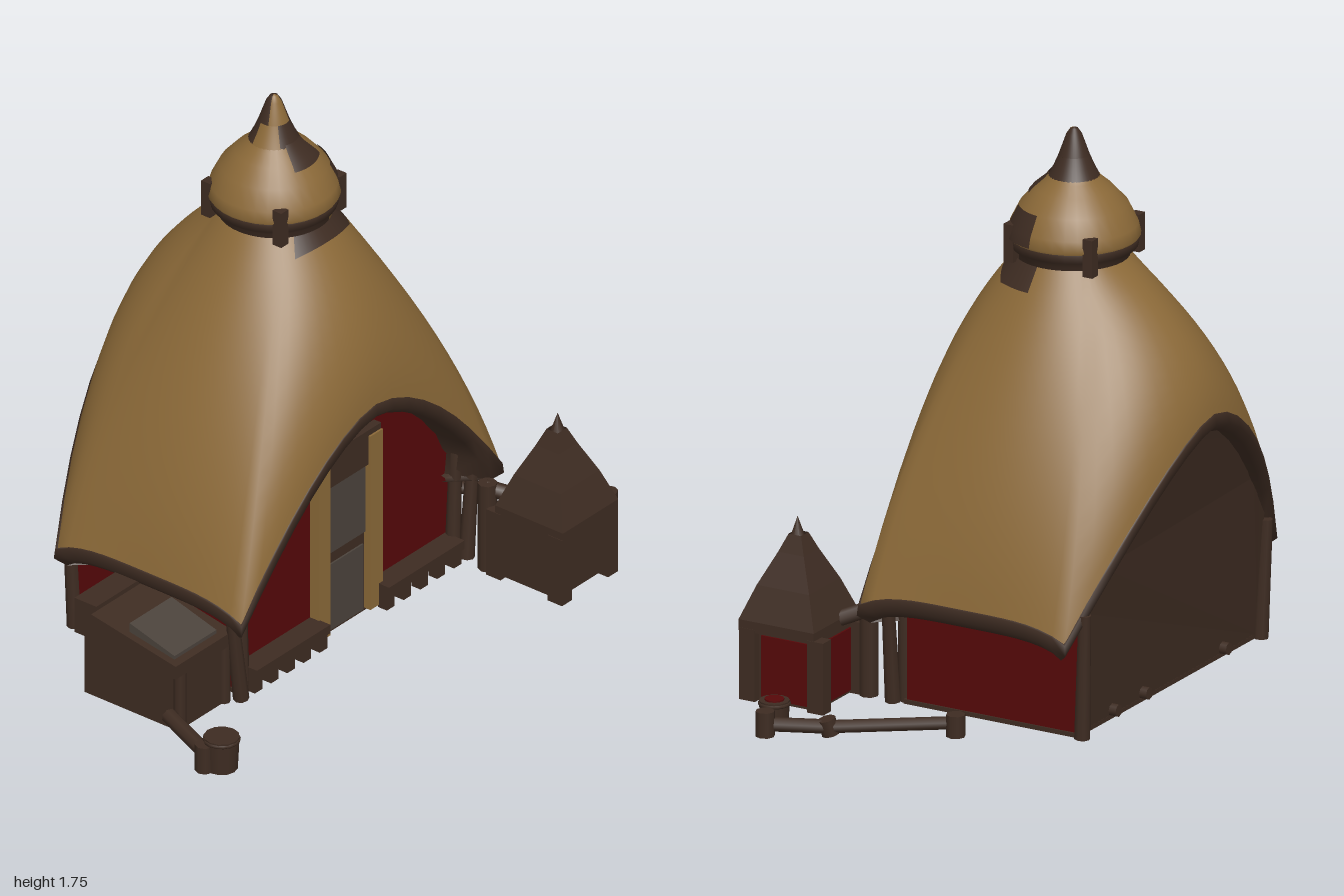
import * as THREE from 'three';

const mat = (name, color, side = THREE.FrontSide) => {
  const m = new THREE.MeshStandardMaterial({ color, side });
  m.name = name;
  return m;
};
const V = (x, y, z) => new THREE.Vector3(x, y, z);

export function createModel() {
  const root = new THREE.Group();
  root.name = 'thatchedCottage';
  const thatch = mat('thatch', 0x8b6938, THREE.DoubleSide);
  const wood = mat('darkWood', 0x3e2c22, THREE.DoubleSide);
  const red = mat('redWall', 0x560809);
  const grey = mat('greyStone', 0x4b433c);

  const add = (name, geo, m, x = 0, y = 0, z = 0, parent = root) => {
    const o = new THREE.Mesh(geo, m);
    o.name = name;
    o.position.set(x, y, z);
    parent.add(o);
    return o;
  };
  // box given by its lowest and highest corner
  const box = (name, m, a, b) => add(name, new THREE.BoxGeometry(b[0] - a[0], b[1] - a[1], b[2] - a[2]), m,
    (a[0] + b[0]) / 2, (a[1] + b[1]) / 2, (a[2] + b[2]) / 2);
  // round beam between two points
  const beam = (name, m, a, b, r0, r1 = r0) => {
    const d = b.clone().sub(a);
    const o = add(name, new THREE.CylinderGeometry(r1, r0, d.length(), 8), m);
    o.position.copy(a).addScaledVector(d, 0.5);
    o.quaternion.setFromUnitVectors(V(0, 1, 0), d.normalize());
  };
  // skin over closed rings; pick(j, i) chooses the material index of each quad
  const loft = (rows, pick = () => 0) => {
    const n = rows[0].length, lists = [[], []];
    for (let j = 0; j < rows.length - 1; j++) for (let i = 0; i < n; i++) {
      const a = j * n + i, b = j * n + (i + 1) % n;
      lists[pick(j, i)].push(a, b, a + n, b, b + n, a + n);
    }
    const g = new THREE.BufferGeometry().setFromPoints(rows.flat());
    g.setIndex(lists.flat());
    g.addGroup(0, lists[0].length, 0);
    g.addGroup(lists[0].length, lists[1].length, 1);
    g.computeVertexNormals();
    return g;
  };

  // ---- roof: arched rectangular eave sweeping up to a round neck, higher at the back
  const archY = (u, rise = 0.5) => 0.31 + rise * (1 - Math.pow(Math.abs(u), 1.7));
  const ring = [], N = 16;
  for (let s = 0; s < 4; s++) for (let i = 0; i < N; i++) {
    const t = -1 + 2 * i / N;
    ring.push([[t, 1], [1, -t], [-t, -1], [-1, t]][s]);
  }
  const eave = ring.map(([u, w]) => {
    const x = -0.04 + 0.62 * u;
    if (w === 1) return V(x, archY(u), 0.27 + 0.02 * (1 - u * u));
    if (w === -1) return V(x, archY(u, 0.58), -0.45 - 0.16 * (1 - u * u));
    return V(x, 0.31 + 0.045 * (1 - w ** 4), -0.09 + 0.36 * w);
  });
  const LEVELS = 14;
  const roofRows = [];
  for (let j = 0; j <= LEVELS; j++) {
    const t = j / LEVELS;
    roofRows.push(ring.map(([u, w], i) => {
      const l = Math.hypot(u, w), dx = u / l, dz = w / l;
      const top = V(-0.015 + 0.175 * dx, 1.34, -0.125 + 0.175 * dz);
      const c = eave[i].clone().lerp(top, 0.5);
      c.x += dx * 0.12;
      c.z += dz * (w < 0 ? 0.13 : 0.11);
      return eave[i].clone().multiplyScalar((1 - t) ** 2)
        .addScaledVector(c, 2 * t * (1 - t)).addScaledVector(top, t * t);
    }));
  }
  add('thatchRoof', loft(roofRows, (j, i) => (j >= LEVELS - 1 && i > 2 && i < 23 ? 1 : 0)), [thatch, wood]);

  // rim board and soffit
  const inset = (k, dy) => eave.map((p, i) => {
    const [u, w] = ring[i];
    return V(p.x - 0.14 * k * Math.sign(u) * Math.abs(u) ** 8, p.y + dy, p.z - 0.16 * k * Math.sign(w) * Math.abs(w) ** 8);
  });
  add('roofRim', loft([inset(1, -0.05), inset(0.15, -0.05), inset(-0.04, -0.025), inset(-0.02, 0.008), inset(0.02, 0.012)]), wood);

  // ---- cap and spire
  const cap = new THREE.Group();
  cap.name = 'roofCap';
  cap.position.set(-0.015, 0, -0.13);
  root.add(cap);
  const PI = Math.PI;
  const lathe = (name, m, pts, start = 0, len = PI * 2) =>
    add(name, new THREE.LatheGeometry(pts.map(p => new THREE.Vector2(...p)), 32, start, len), m, 0, 0, 0, cap);
  lathe('capNeck', wood, [[0.165, 1.3], [0.172, 1.35], [0.195, 1.37], [0.2, 1.395], [0.19, 1.41]]);
  lathe('capDome', thatch, [[0.19, 1.385], [0.203, 1.405], [0.195, 1.44], [0.165, 1.5], [0.12, 1.55], [0.085, 1.58], [0.07, 1.6]]);
  lathe('domePatch', wood, [[0.207, 1.405], [0.199, 1.44], [0.169, 1.5]], PI * 0.2, PI * 0.24);
  lathe('domeFrontPatch', wood, [[0.138, 1.537], [0.124, 1.553], [0.089, 1.583], [0.076, 1.6]], PI * 1.87, PI * 0.34);
  const spireLow = [[0.08, 1.585], [0.062, 1.62], [0.047, 1.655]];
  const spireTop = [[0.047, 1.655], [0.024, 1.72], [0.012, 1.738], [0, 1.742]];
  lathe('spireBase', wood, spireLow, PI * 1.8, PI * 1.6);
  lathe('spireBaseThatch', thatch, spireLow, PI * 1.4, PI * 0.4);
  lathe('spireTip', wood, spireTop, PI * 0.15, PI * 1.45);
  lathe('spireTipThatch', thatch, spireTop, PI * 1.6, PI * 0.55);
  for (const sx of [-1, 1]) for (const sz of [-1, 1])
    add('capBracket', new THREE.BoxGeometry(0.034, 0.12, 0.034), wood, sx * 0.139, 1.39, sz * 0.139, cap);

  // ---- house body: arched prism whose back is taller and leans outwards
  const arch = new THREE.Shape();
  arch.moveTo(-0.56, 0.008);
  arch.lineTo(0.5, 0.008);
  for (let i = 0; i <= 24; i++) {
    const x = 0.5 - 1.06 * i / 24;
    arch.lineTo(x, archY((x + 0.04) / 0.62) - 0.03);
  }
  const prism = (z, depth) => {
    const g = new THREE.ExtrudeGeometry(arch, { depth, bevelEnabled: false });
    g.translate(0, 0, z);
    const p = g.attributes.position;
    for (let i = 0; i < p.count; i++) if (p.getZ(i) < -0.3) {
      const y = p.getY(i);
      p.setZ(i, p.getZ(i) - 0.1 * (y / 0.8) ** 2);
      if (y > 0.3) p.setY(i, y + (y - 0.28) * 0.16);
    }
    g.computeVertexNormals();
    return g;
  };
  add('houseWalls', prism(-0.44, 0.59), red);
  add('backWall', prism(-0.449, 0.008), wood);
  box('floor', wood, [-0.565, 0, -0.45], [0.505, 0.014, 0.16]);

  // ---- door
  box('doorJamb', thatch, [-0.185, 0.01, 0.14], [-0.13, 0.62, 0.185]);
  box('doorJamb', thatch, [0.06, 0.01, 0.14], [0.12, 0.62, 0.185]);
  box('doorLintel', wood, [-0.135, 0.52, 0.14], [0.12, 0.64, 0.178]);
  box('doorFrame', wood, [-0.13, 0, 0.14], [0.06, 0.52, 0.16]);
  box('doorUpperPanel', grey, [-0.13, 0.28, 0.16], [0.06, 0.52, 0.166]);
  box('doorLowerPanel', grey, [-0.115, 0.01, 0.16], [0.05, 0.24, 0.166]);

  // ---- corner posts
  for (const [x0, x1, z, h] of [[-0.575, -0.62, 0.2, 0.32], [-0.535, -0.545, 0.17, 0.37], [0.5, 0.53, 0.2, 0.33],
    [0.47, 0.485, 0.17, 0.37], [-0.56, -0.57, -0.46, 0.38], [0.5, 0.51, -0.465, 0.4]])
    beam('cornerPost', wood, V(x0, 0, z), V(x1, h, z - (z < 0 ? 0.015 : 0)), 0.025, 0.02);
  for (const x of [-0.35, 0.12, 0.3])
    beam('backPeg', wood, V(x, 0.03, -0.44), V(x, 0.03, -0.475), 0.02);

  // ---- low front benches with a dark skirting behind
  for (const [x0, x1] of [[-0.53, -0.18], [0.1, 0.46]]) {
    box('benchRail', wood, [x0, 0.055, 0.15], [x1, 0.085, 0.225]);
    box('skirting', wood, [x0, 0, 0.145], [x1, 0.06, 0.158]);
    for (let i = 0; i < 5; i++) {
      const x = x0 + 0.02 + (x1 - x0 - 0.04) * i / 4;
      box('benchLeg', wood, [x - 0.018, 0, 0.18], [x + 0.018, 0.06, 0.215]);
    }
  }

  // ---- side shed with a lid that slopes to the front
  const slope = (name, m, x0, x1, y0, y1, z0, z1, drop) => {
    const o = box(name, m, [x0, y0, z0], [x1, y1, z1]);
    const p = o.geometry.attributes.position;
    for (let i = 0; i < p.count; i++) if (p.getY(i) > 0 && p.getZ(i) > 0) p.setY(i, p.getY(i) - drop);
    o.geometry.computeVertexNormals();
  };
  slope('shedBody', wood, -0.845, -0.6, 0, 0.3, -0.19, 0.175, 0.06);
  slope('shedRim', wood, -0.875, -0.6, 0.2, 0.305, -0.14, 0.19, 0.06);
  slope('shedLid', grey, -0.85, -0.65, 0.25, 0.312, -0.01, 0.165, 0.05);
  box('shedBackBoard', wood, [-0.85, 0.2, -0.225], [-0.62, 0.32, -0.14]);
  for (const x of [-0.83, -0.62]) beam('shedPost', wood, V(x, 0, 0.17), V(x, 0.24, 0.17), 0.02);

  // ---- small tower by the front corner
  const tx = 0.59, tz = 0.46;
  box('towerBody', wood, [tx - 0.11, 0, tz - 0.11], [tx + 0.11, 0.24, tz + 0.11]);
  box('towerSidePanel', red, [tx + 0.108, 0.01, tz - 0.09], [tx + 0.116, 0.21, tz + 0.08]);
  box('towerBackPanel', red, [tx - 0.09, 0.01, tz - 0.116], [tx + 0.09, 0.21, tz - 0.108]);
  for (const sx of [-1, 1]) for (const sz of [-1, 1])
    box('towerPost', wood, [tx + sx * 0.11 - 0.024, 0, tz + sz * 0.12 - 0.028], [tx + sx * 0.11 + 0.024, 0.23, tz + sz * 0.12 + 0.028]);
  const square = (h, y) => [[-1, 1], [1, 1], [1, -1], [-1, -1]].map(([a, b]) => V(tx + a * h, y, tz + 0.018 + b * h));
  const towerRoof = loft([square(0, 0.22), square(0.132, 0.22), square(0.132, 0.255), square(0.092, 0.36),
    square(0.045, 0.46), square(0.022, 0.515)]).toNonIndexed();
  towerRoof.computeVertexNormals();
  add('towerRoof', towerRoof, wood);
  add('towerFinial', new THREE.ConeGeometry(0.025, 0.07, 8), wood, tx + 0.002, 0.535, tz + 0.02);
  beam('towerLinkPost', wood, V(0.49, 0, 0.29), V(0.49, 0.3, 0.29), 0.03);
  beam('towerLinkBeam', wood, V(0.49, 0.28, 0.28), V(0.55, 0.25, 0.36), 0.025);

  // ---- ground beams and tubs
  const tub = (x, z, r, h) => {
    add('tub', new THREE.CylinderGeometry(r, r * 0.9, h, 12), wood, x, h / 2, z);
    add('tubBand', new THREE.TorusGeometry(r * 0.95, 0.006, 6, 16).rotateX(PI / 2), wood, x, h - 0.01, z);
  };
  tub(-0.925, 0.41, 0.055, 0.11);
  beam('leftBeam', wood, V(-0.87, 0.06, 0.16), V(-0.96, 0.04, 0.4), 0.025);
  beam('leftBeamEnd', wood, V(-0.97, 0, 0.38), V(-0.97, 0.09, 0.38), 0.03);
  tub(0.88, 0.39, 0.047, 0.085);
  add('tubFilling', new THREE.CylinderGeometry(0.03, 0.03, 0.006, 12), red, 0.88, 0.087, 0.39);
  beam('rightBeam', wood, V(0.69, 0.05, -0.14), V(0.87, 0.03, 0.2), 0.02);
  beam('rightBeam', wood, V(0.87, 0.03, 0.2), V(0.96, 0.035, 0.37), 0.022);
  beam('rightBeamJoint', wood, V(0.865, 0.005, 0.2), V(0.875, 0.055, 0.21), 0.028);
  beam('rightBeamEnd', wood, V(0.7, 0.01, -0.14), V(0.7, 0.08, -0.14), 0.03);
  beam('rightBeamEnd', wood, V(0.968, 0, 0.37), V(0.968, 0.08, 0.37), 0.03);

  return root;
}
